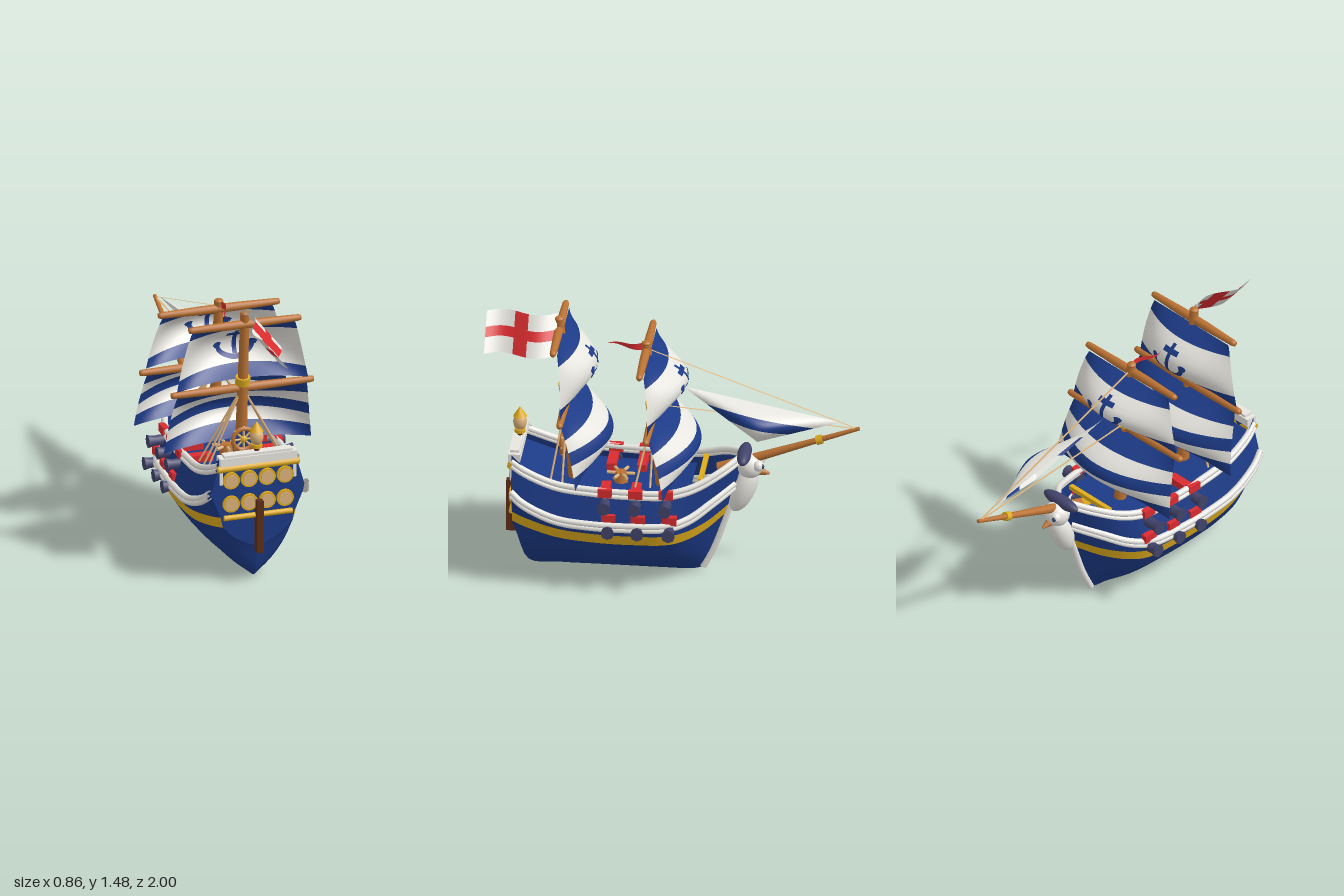
import * as THREE from 'three';
import { ParametricGeometry } from 'three/addons/geometries/ParametricGeometry.js';

const V = (x, y, z) => new THREE.Vector3(x, y, z);
const paint = (name, color, side = THREE.FrontSide) => {
  const m = new THREE.MeshStandardMaterial({ color, side });
  m.name = name;
  return m;
};

export function createModel() {
  const ship = new THREE.Group();
  ship.name = 'sailingShip';
  const D = THREE.DoubleSide;
  const blue = paint('navyBlue', 0x1c3a86, D), white = paint('sailWhite', 0xf0eee8, D);
  const gold = paint('gold', 0xe0ac1c, D), red = paint('red', 0xda2c2f, D);
  const wood = paint('wood', 0xbb7233), darkWood = paint('darkWood', 0x5e2e18);
  const iron = paint('iron', 0x41436a), tan = paint('tan', 0xdcb27c, D);

  const add = (name, geo, mat, x = 0, y = 0, z = 0) => {
    const m = new THREE.Mesh(geo, mat);
    m.name = name;
    m.position.set(x, y, z);
    ship.add(m);
    return m;
  };
  const box = (name, mat, w, h, d, x, y, z) => add(name, new THREE.BoxGeometry(w, h, d), mat, x, y, z);
  const ball = (name, mat, rx, ry, rz, x, y, z) => {
    const m = add(name, new THREE.SphereGeometry(1, 20, 14), mat, x, y, z);
    m.scale.set(rx, ry, rz);
    return m;
  };
  // round bar from a to b
  const rod = (name, mat, a, b, r0, r1 = r0, sides = 14) => {
    const dir = b.clone().sub(a);
    const m = add(name, new THREE.CylinderGeometry(r1, r0, dir.length(), sides), mat);
    m.position.copy(a).add(b).multiplyScalar(0.5);
    m.quaternion.setFromUnitVectors(V(0, 1, 0), dir.normalize());
    return m;
  };
  // part of a surface f(u, v) -> Vector3
  const patch = (name, mat, f, u0, u1, v0, v1, nu, nv) =>
    add(name, new ParametricGeometry((u, v, p) => p.copy(f(u0 + (u1 - u0) * u, v0 + (v1 - v0) * v)), nu, nv), mat);

  // ---- Hull: stations [z, wide half-width, top half-width, top y, wale y, band y, keel y, bottom fullness]
  const stations = [
    [0.84, 0.26, 0.215, 0.685, 0.53, 0.33, 0.2, 0.82], [0.775, 0.28, 0.235, 0.65, 0.48, 0.315, 0.01, 0.87],
    [0.6, 0.305, 0.255, 0.587, 0.41, 0.285, 0, 0.97], [0.4, 0.315, 0.265, 0.568, 0.39, 0.272, 0, 1],
    [0.2, 0.315, 0.265, 0.56, 0.388, 0.268, 0, 1], [0, 0.295, 0.25, 0.562, 0.392, 0.27, 0, 1],
    [-0.14, 0.235, 0.21, 0.59, 0.415, 0.278, 0, 1], [-0.27, 0.135, 0.13, 0.65, 0.475, 0.3, 0.005, 1],
    [-0.38, 0.012, 0.012, 0.7, 0.53, 0.345, 0.02, 1],
  ];
  const section = ([z, w, wt, yt, yw, g, k, n]) => [
    [0, k], [0.4 * w * n, k + 0.29 * (g - k)], [0.68 * w * n, k + 0.6 * (g - k)], [0.91 * w * n, g],
    [0.97 * w * n, g + 0.06], [w, yw], [wt, yt],
  ].map(([x, y]) => V(x, y, z < 0 ? z * (0.16 + 0.22 * Math.min(1, y / 0.65)) / 0.38 : z));
  const sections = stations.map(section);
  const rows = sections[0].map((_, r) => new THREE.CatmullRomCurve3(sections.map(s => s[r])));
  for (const s of [1, -1]) {
    const flip = V(s, 1, 1);
    const bottom = (u, v) => new THREE.CatmullRomCurve3([0, 1, 2, 3].map(r => rows[r].getPoint(u))).getPoint(v).multiply(flip);
    patch('bottomHull', blue, bottom, 0, 1, 0, 1, 40, 10);
    for (const [r, name, mat] of [[3, 'goldBand', gold], [4, 'lowerSide', blue], [5, 'upperSide', blue]]) {
      const side = (u, v) => rows[r].getPoint(u).lerp(rows[r + 1].getPoint(u), v).multiply(flip);
      patch(name, mat, side, 0, 1, 0, 1, 40, 2);
    }
    // raised bulwark near the stern
    patch('sternBulwark', blue, (u, v) => rows[6].getPoint(u).add(V(0, v * 0.045 * (1 - u / 0.28), 0)).multiply(flip), 0, 0.28, 0, 1, 12, 1);
    // double white rails
    for (const [r, lift, out, rad] of [[6, 0.008, 0, 0.017], [6, -0.018, 0.008, 0.013], [5, 0.01, 0.008, 0.017], [5, -0.014, 0.01, 0.016]]) {
      const pts = [];
      for (let i = 0; i <= 30; i++) {
        const p = rows[r].getPoint(i / 30 * 0.99);
        pts.push(V(s * (p.x + out), p.y + lift, p.z));
      }
      add(r === 6 ? 'topRail' : 'waleRail', new THREE.TubeGeometry(new THREE.CatmullRomCurve3(pts), 60, rad, 8), white);
    }
  }
  const outline = sections[0].map(p => new THREE.Vector2(p.x, p.y));
  const mirror = outline.slice(1).reverse().map(p => new THREE.Vector2(-p.x, p.y));
  add('transom', new THREE.ShapeGeometry(new THREE.Shape([...outline, ...mirror])), blue, 0, 0, 0.84);
  const deck = (u, v) => {
    const p = rows[6].getPoint(u);
    return V(p.x * (2 * v - 1), p.y - 0.06, p.z);
  };
  patch('deck', blue, deck, 0, 0.72, 0, 1, 30, 2);
  patch('foredeck', wood, deck, 0.72, 1, 0, 1, 16, 2);
  const stem = new THREE.CatmullRomCurve3([V(0, 0.02, -0.16), V(0, 0.16, -0.225), V(0, 0.34, -0.285), V(0, 0.54, -0.35), V(0, 0.68, -0.385)]);
  add('stem', new THREE.TubeGeometry(stem, 24, 0.019, 8), white);
  box('foredeckRail', gold, 0.3, 0.025, 0.025, 0, 0.6, -0.16);

  // ---- Stern
  box('taffrail', white, 0.43, 0.045, 0.065, 0, 0.712, 0.828);
  box('taffrailCap', white, 0.38, 0.02, 0.05, 0, 0.738, 0.828);
  for (const s of [1, -1]) box('sternPost', white, 0.018, 0.1, 0.012, s * 0.205, 0.63, 0.843);
  const bar = (y, h, r) => rod('sternMoulding', gold, V(-h, y, 0.845), V(h, y, 0.845), r);
  bar(0.67, 0.225, 0.019);
  bar(0.385, 0.19, 0.015);
  for (const y of [0.6, 0.465]) for (const x of [-0.15, -0.05, 0.05, 0.15]) {
    const frame = add('windowFrame', new THREE.CylinderGeometry(0.047, 0.047, 0.016, 24), gold, x, y, 0.846);
    const pane = add('windowPane', new THREE.CylinderGeometry(0.036, 0.036, 0.008, 24), tan, x, y, 0.854);
    frame.rotation.x = pane.rotation.x = Math.PI / 2;
  }
  box('rudder', darkWood, 0.034, 0.3, 0.055, 0, 0.33, 0.865);
  rod('lanternStem', darkWood, V(0, 0.7, 0.82), V(0, 0.78, 0.82), 0.014);
  rod('lanternBase', gold, V(0, 0.765, 0.82), V(0, 0.785, 0.82), 0.03);
  ball('lanternGlass', tan, 0.037, 0.048, 0.037, 0, 0.825, 0.82);
  rod('lanternRoof', gold, V(0, 0.858, 0.82), V(0, 0.91, 0.82), 0.037, 0.004);

  // ---- Guns: two rows on each side
  for (const s of [1, -1]) for (const [y, x, lidX, zs] of [[0.505, 0.295, 0.273, [0.335, 0.172, 0.01]], [0.37, 0.31, 0.304, [0.312, 0.155, -0.012]]]) for (const z of zs) {
    rod('gunBarrel', iron, V(s * (x - 0.05), y, z), V(s * (x + 0.045), y, z), 0.033, 0.028, 8);
    rod('gunMuzzle', iron, V(s * (x + 0.03), y, z), V(s * (x + 0.058), y, z), 0.03, 0.037, 8);
    box('gunPortLid', red, 0.034, 0.046, 0.076, s * (z < 0.1 ? lidX - 0.01 : lidX), y + 0.06, z);
    if (y > 0.45 && z > 0.1) box('gunCarriage', red, 0.15, 0.04, 0.05, s * 0.175, 0.53, z + 0.01);
  }

  // ---- Deck fittings: wheel and capstan
  const wheelY = 0.715, wheelZ = 0.59;
  add('wheelRim', new THREE.TorusGeometry(0.06, 0.013, 8, 28), wood, 0, wheelY, wheelZ);
  add('wheelDisc', new THREE.CircleGeometry(0.058, 28), blue, 0, wheelY, wheelZ - 0.004);
  ball('wheelHub', gold, 0.02, 0.02, 0.014, 0, wheelY, wheelZ);
  for (let i = 0; i < 4; i++) {
    const a = i * Math.PI / 4, c = 0.074 * Math.cos(a), d = 0.074 * Math.sin(a);
    rod('wheelSpoke', tan, V(-c, wheelY - d, wheelZ), V(c, wheelY + d, wheelZ), 0.006, 0.006, 8);
  }
  rod('capstan', wood, V(0, 0.49, 0.28), V(0, 0.56, 0.28), 0.04, 0.03);
  for (const a of [0.4, 1.6, 2.6]) rod('capstanBar', tan, V(-0.075 * Math.cos(a), 0.55, 0.28 - 0.075 * Math.sin(a)), V(0.075 * Math.cos(a), 0.55, 0.28 + 0.075 * Math.sin(a)), 0.009);

  // ---- Masts, yards, sails and shrouds
  const yard = (half, y, z) => {
    const prof = [[0, -half], [0.014, -half + 0.004], [0.018, -half + 0.02], [0.024, -half * 0.3], [0.024, half * 0.3], [0.018, half - 0.02], [0.014, half - 0.004], [0, half]];
    add('yard', new THREE.LatheGeometry(prof.map(p => new THREE.Vector2(...p)), 14), wood, 0, y, z).rotation.z = Math.PI / 2;
  };
  const sail = (name, stripes, yt, yb, wt, wb, zt, zb, bulge) => {
    const f = (u, v) => V(
      u * (wt + (wb - wt) * Math.pow(v, 0.8)),
      yt + (yb - yt) * v + 0.03 * v * (1 - u * u),
      zt + (zb - zt) * v - bulge * (1 - 0.94 * u * u) * Math.sin(Math.PI * 0.95 * v));
    for (let i = 0; i + 1 < stripes.length; i++) patch(name, i % 2 ? white : blue, f, -1, 1, stripes[i], stripes[i + 1], 20, 6);
    return f;
  };
  // painted anchor, laid on both faces of a sail
  const anchor = f => {
    const lines = [
      [[0, 0.23], [0, 0.7]], [[-0.16, 0.33], [0.16, 0.33]],
      [[-0.31, 0.5], [-0.25, 0.63], [-0.13, 0.71], [0, 0.74], [0.13, 0.71], [0.25, 0.63], [0.31, 0.5]],
      [[-0.36, 0.53], [-0.31, 0.5], [-0.24, 0.52]], [[0.36, 0.53], [0.31, 0.5], [0.24, 0.52]],
    ];
    for (const off of [-0.005, 0.005]) for (const line of lines) {
      const path = new THREE.CatmullRomCurve3(line.map(([u, v]) => V(u, v, 0)));
      patch('sailAnchor', blue, (t, s) => {
        const p = path.getPoint(t), d = path.getTangent(t);
        return f(p.x - d.y * s, p.y + d.x * s).add(V(0, 0, off));
      }, 0, 1, -0.036, 0.036, 16, 1);
    }
  };
  const rig = ({ base, top, collar, upper, lower, topsail, course, foot }) => {
    rod('mast', wood, base, top, 0.034, 0.024);
    ball('mastCap', wood, 0.025, 0.015, 0.025, 0, top.y, top.z);
    rod('mastCollar', gold, V(0, collar - 0.022, lower[2] + 0.005), V(0, collar + 0.022, lower[2] + 0.012), 0.04);
    yard(...upper);
    yard(...lower);
    anchor(sail('topsail', [0, 0.17, 0.82, 1], ...topsail));
    sail('course', [0, 0.2, 0.4, 0.6, 0.8, 1], ...course);
    for (const s of [1, -1]) for (const z of foot)
      rod('shroud', tan, V(0, lower[1], lower[2]), V(s * 0.22, 0.58, z), 0.006, 0.006, 6);
  };
  rig({
    base: V(0, 0.48, 0.525), top: V(0, 1.45, 0.61), collar: 1.05, foot: [0.635, 0.57, 0.5],
    upper: [0.315, 1.39, 0.61], lower: [0.4, 1.005, 0.565],
    topsail: [1.375, 1.02, 0.28, 0.365, 0.59, 0.57, 0.172], course: [0.985, 0.635, 0.36, 0.41, 0.56, 0.48, 0.193],
  });
  rig({
    base: V(0, 0.48, 0.06), top: V(0, 1.33, 0.145), collar: 0.965, foot: [0.18, 0.1, 0.04],
    upper: [0.34, 1.287, 0.145], lower: [0.43, 0.948, 0.1],
    topsail: [1.27, 0.97, 0.3, 0.39, 0.125, 0.1, 0.188], course: [0.93, 0.605, 0.38, 0.43, 0.09, 0.01, 0.193],
  });

  // ---- Bowsprit, flat stays and jib
  rod('bowsprit', wood, V(0, 0.61, -0.24), V(0, 0.888, -0.995), 0.03, 0.01);
  rod('bowspritRing', gold, V(0, 0.803, -0.765), V(0, 0.815, -0.797), 0.025);
  for (const [y, z] of [[1.3, 0.14], [0.97, 0.1]])
    patch('stay', tan, (u, v) => V(0.011 * (v - 0.5), y + (0.885 - y) * u, z - (0.985 + z) * u), 0, 1, 0, 1, 1, 1);
  const head = V(0, 1.085, -0.05), tack = V(0, 0.92, -0.895), clew = V(0.105, 0.83, -0.46);
  const jib = (u, v) => {
    const p = head.clone().lerp(tack, u).lerp(clew, v);
    const belly = Math.sin(Math.PI * u) * v * (1 - v);
    return p.add(V(0.4 * belly, 0.12 * belly, 0));
  };
  for (const [a, b, mat] of [[0, 0.32, white], [0.32, 0.62, blue], [0.62, 1, white]]) patch('jib', mat, jib, 0, 1, a, b, 20, 6);

  // ---- Flag with cross, and pennant
  const flag = (u, v) => V(-0.015 + 0.145 * v + 0.035 * Math.sin(u * 6), 1.475 - 0.185 * v - 0.012 * u, 0.62 + 0.38 * u);
  const us = [0, 0.4, 0.6, 1], vs = [0, 0.38, 0.62, 1];
  for (let i = 0; i < 3; i++) for (let j = 0; j < 3; j++)
    patch('flag', i === 1 || j === 1 ? red : white, flag, us[i], us[i + 1], vs[j], vs[j + 1], 8, 2);
  patch('pennant', red, (u, v) => V(0.02 * Math.sin(u * 6), 1.315 + (v - 0.5) * 0.045 * (1 - u), 0.15 + 0.21 * u), 0, 0.99, 0, 1, 12, 1);

  // ---- Bird figurehead with a wide hat
  ball('birdBody', white, 0.06, 0.14, 0.062, 0, 0.49, -0.375).rotation.x = -0.4;
  ball('birdHead', white, 0.07, 0.07, 0.07, 0, 0.635, -0.41);
  rod('birdBeak', wood, V(0, 0.605, -0.455), V(0, 0.592, -0.515), 0.026, 0.006);
  ball('hat', iron, 0.125, 0.036, 0.038, 0, 0.7, -0.38);
  for (const s of [1, -1]) {
    ball('birdEye', white, 0.028, 0.03, 0.028, s * 0.045, 0.655, -0.46);
    ball('birdPupil', iron, 0.012, 0.014, 0.012, s * 0.052, 0.657, -0.48);
  }
  return ship;
}
